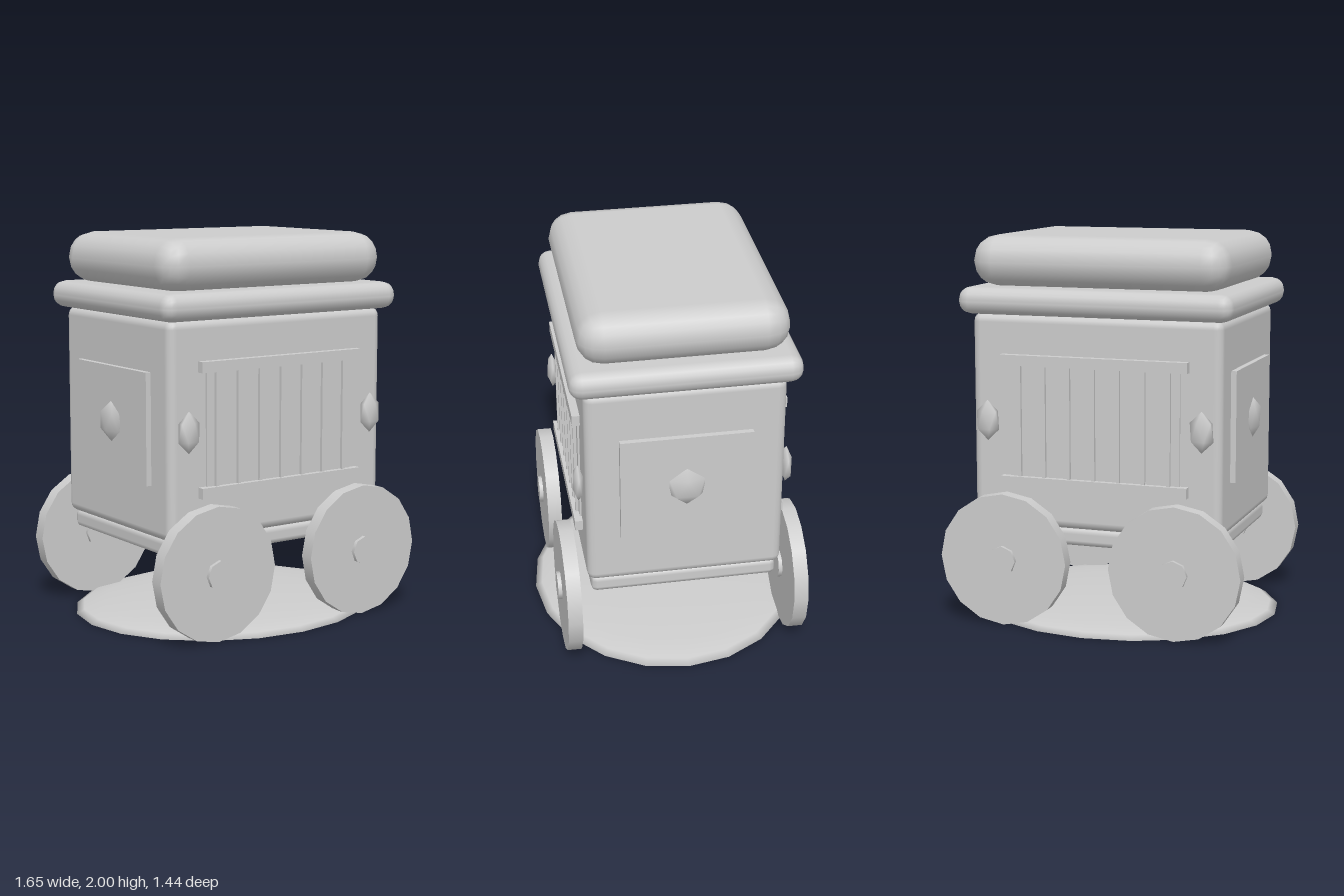
import * as THREE from 'three';
import { mergeVertices } from 'three/addons/utils/BufferGeometryUtils.js';
import { RoundedBoxGeometry } from 'three/addons/geometries/RoundedBoxGeometry.js';

export function createModel() {
  const model = new THREE.Group();
  model.name = 'cageWagon';
  const grey = new THREE.MeshStandardMaterial({ color: 0xcccccc });
  grey.name = 'grey';

  const add = (name, geometry, x, y, z, parent = model) => {
    const mesh = new THREE.Mesh(geometry, grey);
    mesh.name = name;
    mesh.position.set(x, y, z);
    parent.add(mesh);
    return mesh;
  };
  const rounded = (name, w, y0, y1, d, radius, segments) =>
    add(name, new RoundedBoxGeometry(w, y1 - y0, d, segments, radius), 0.004, (y0 + y1) / 2, -0.004);
  const box = (w, h, d) => new THREE.BoxGeometry(w, h, d);

  // Wagon body, stacked from the chassis up to the roof
  rounded('chassis', 1.28, 0.41, 0.505, 0.97, 0.03, 1);
  rounded('body', 1.335, 0.5, 1.605, 1.01, 0.045, 2);
  rounded('cornice', 1.455, 1.6, 1.74, 1.15, 0.065, 2);
  rounded('roof', 1.37, 1.735, 2, 1.05, 0.13, 2);

  // Faceted stud with a point at the top, smooth shaded
  let stud = new THREE.IcosahedronGeometry(1, 0);
  stud.rotateZ(-Math.atan2(2, 1 + Math.sqrt(5)));
  stud.deleteAttribute('uv');
  stud.deleteAttribute('normal');
  stud = mergeVertices(stud, 1e-3);
  stud.computeVertexNormals();

  const wheelGeometry = new THREE.CylinderGeometry(0.345, 0.345, 0.075, 16).rotateX(Math.PI / 2);
  const hubGeometry = new THREE.CylinderGeometry(0.075, 0.075, 0.115, 8).rotateX(Math.PI / 2);

  // Barred sides, wheels and studs on the front and the back
  for (const s of [1, -1]) {
    const z = (d) => s * d - 0.004;
    const cage = new THREE.Group();
    cage.name = s > 0 ? 'frontBars' : 'backBars';
    model.add(cage);
    add('topRail', box(1, 0.055, 0.05), 0.004, 1.372, z(0.52), cage);
    add('bottomRail', box(1, 0.055, 0.05), 0.004, 0.742, z(0.52), cage);
    add('backPlate', box(0.91, 0.58, 0.04), 0.004, 1.057, z(0.495), cage);
    for (let i = -3; i <= 3; i++) {
      add('bar', box(0.018, 0.58, 0.04), 0.004 + i * 0.1333, 1.057, z(0.511), cage);
    }
    for (const side of [1, -1]) {
      add('wheel', wheelGeometry, side * 0.46 + 0.004, 0.345, z(0.59));
      add('hub', hubGeometry, side * 0.46 + 0.004, 0.345, z(0.59));
      add('cornerStud', stud, side * 0.573 + 0.004, 1.055, z(0.532)).scale.set(0.069, 0.105, 0.03);
    }
  }

  // End panels with a central stud
  for (const side of [1, -1]) {
    add('endPanel', box(0.05, 0.57, 0.67), side * 0.671 + 0.004, 1.055, -0.004);
    add('endStud', stud, side * 0.695 + 0.004, 1.055, -0.004).scale.set(0.04, 0.105, 0.105);
  }

  // Low mound under the wagon with a flat underside
  const mound = new THREE.Group();
  mound.name = 'mound';
  mound.scale.set(0.823, 0.07, 0.72);
  model.add(mound);
  add('moundTop', new THREE.SphereGeometry(1, 20, 5, 0, Math.PI * 2, 0, Math.PI / 2), 0, 0, 0, mound);
  add('moundBase', new THREE.CircleGeometry(1, 20).rotateX(Math.PI / 2), 0, 0, 0, mound);

  return model;
}
